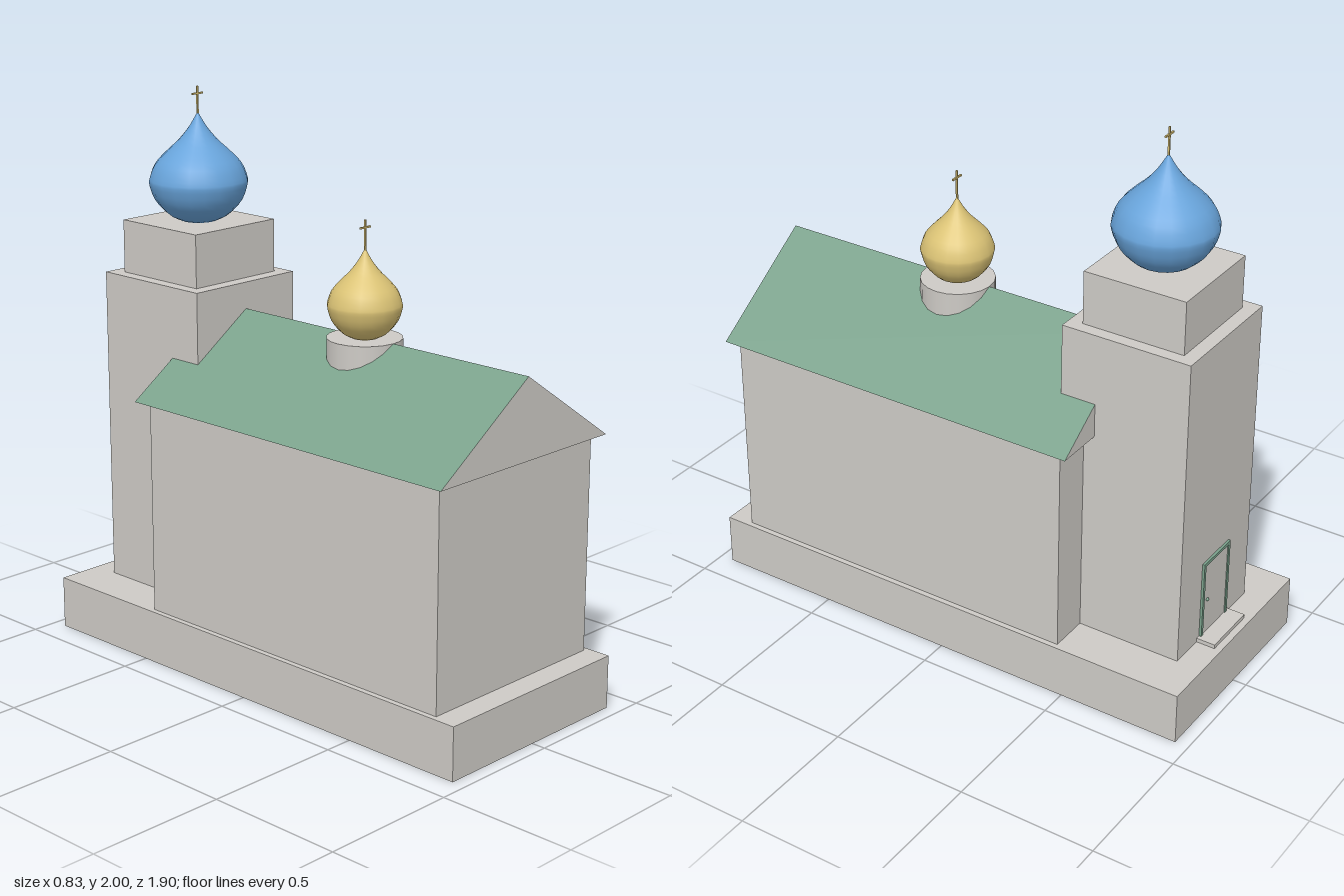
import * as THREE from 'three';

export function createModel() {
  const model = new THREE.Group();
  model.name = 'church';

  const material = (name, color) => {
    const m = new THREE.MeshStandardMaterial({ color });
    m.name = name;
    return m;
  };
  const stone = material('stone grey', 0xcecbc6);
  const green = material('roof green', 0x7ba28c);
  const blue = material('dome blue', 0x69a5dc);
  const gold = material('dome gold', 0xdcc476);

  const add = (name, geometry, mat, x = 0, y = 0, z = 0, parent = model) => {
    const mesh = new THREE.Mesh(geometry, mat);
    mesh.name = name;
    mesh.position.set(x, y, z);
    parent.add(mesh);
    return mesh;
  };
  // Box given by its lower and upper limits on each axis
  const box = (name, mat, [x0, x1], [y0, y1], [z0, z1], parent = model) =>
    add(name, new THREE.BoxGeometry(x1 - x0, y1 - y0, z1 - z0), mat,
      (x0 + x1) / 2, (y0 + y1) / 2, (z0 + z1) / 2, parent);

  // Plinth, nave and two-stage tower
  box('plinth', stone, [-0.4, 0.4], [0, 0.19], [-0.95, 0.95]);
  box('nave', stone, [-0.38, 0.38], [0.19, 0.96], [-0.47, 0.86]);
  box('tower', stone, [-0.235, 0.235], [0.19, 1.335], [-0.855, -0.38]);
  box('belfry', stone, [-0.19, 0.19], [1.335, 1.525], [-0.805, -0.43]);

  // Gabled roof: stone gables, green slopes and eaves
  const gable = new THREE.Shape([
    new THREE.Vector2(-0.415, 0.958),
    new THREE.Vector2(0.415, 0.958),
    new THREE.Vector2(0, 1.24),
  ]);
  add('roof', new THREE.ExtrudeGeometry(gable, { depth: 1.405, bevelEnabled: false }),
    [stone, green], 0, 0, -0.51);

  // Drum set into the ridge
  add('drum', new THREE.CylinderGeometry(0.13, 0.13, 0.14, 20), stone, 0, 1.17, 0.19);

  // Onion dome: profile in units of its widest radius and its height
  const profile = [
    [0.36, 0], [0.62, 0.06], [0.88, 0.19], [0.995, 0.33], [0.99, 0.4], [0.88, 0.52],
    [0.66, 0.63], [0.4, 0.74], [0.2, 0.85], [0.09, 0.93], [0, 1],
  ];
  const onion = (name, mat, y, z, radius, height, top) => {
    const group = new THREE.Group();
    group.name = name;
    group.position.set(0, y, z);
    model.add(group);
    const curve = new THREE.SplineCurve(
      profile.map(([r, h]) => new THREE.Vector2(r * radius, h * height)));
    const points = curve.getPoints(24);
    points.forEach((p) => { p.x = Math.max(p.x, 0); });
    points.unshift(new THREE.Vector2(0, 0));
    add('onionDome', new THREE.LatheGeometry(points, 20), mat, 0, 0, 0, group);
    // Thin cross on the tip
    const t = 0.003, tip = top - y;
    box('crossPost', gold, [-t, t], [height - 0.02, tip], [-t, t], group);
    box('crossArm', gold, [-0.025, 0.025], [tip - 0.029, tip - 0.023], [-t, t], group);
  };
  onion('towerDome', blue, 1.525, -0.615, 0.175, 0.385, 2);
  onion('naveDome', gold, 1.24, 0.19, 0.127, 0.305, 1.64);

  // Back door: step, stone leaf, green frame and knob
  box('doorStep', stone, [-0.105, 0.105], [0.19, 0.205], [-0.925, -0.855]);
  box('doorLeaf', stone, [-0.08, 0.08], [0.205, 0.49], [-0.86, -0.855]);
  for (const side of [-1, 1]) {
    const x = side * 0.083;
    box('doorJamb', green, [x - 0.006, x + 0.006], [0.205, 0.5], [-0.864, -0.855]);
  }
  box('doorLintel', green, [-0.089, 0.089], [0.488, 0.5], [-0.864, -0.855]);
  add('doorKnob', new THREE.SphereGeometry(0.006, 10, 8), green, 0.055, 0.34, -0.863);

  return model;
}
